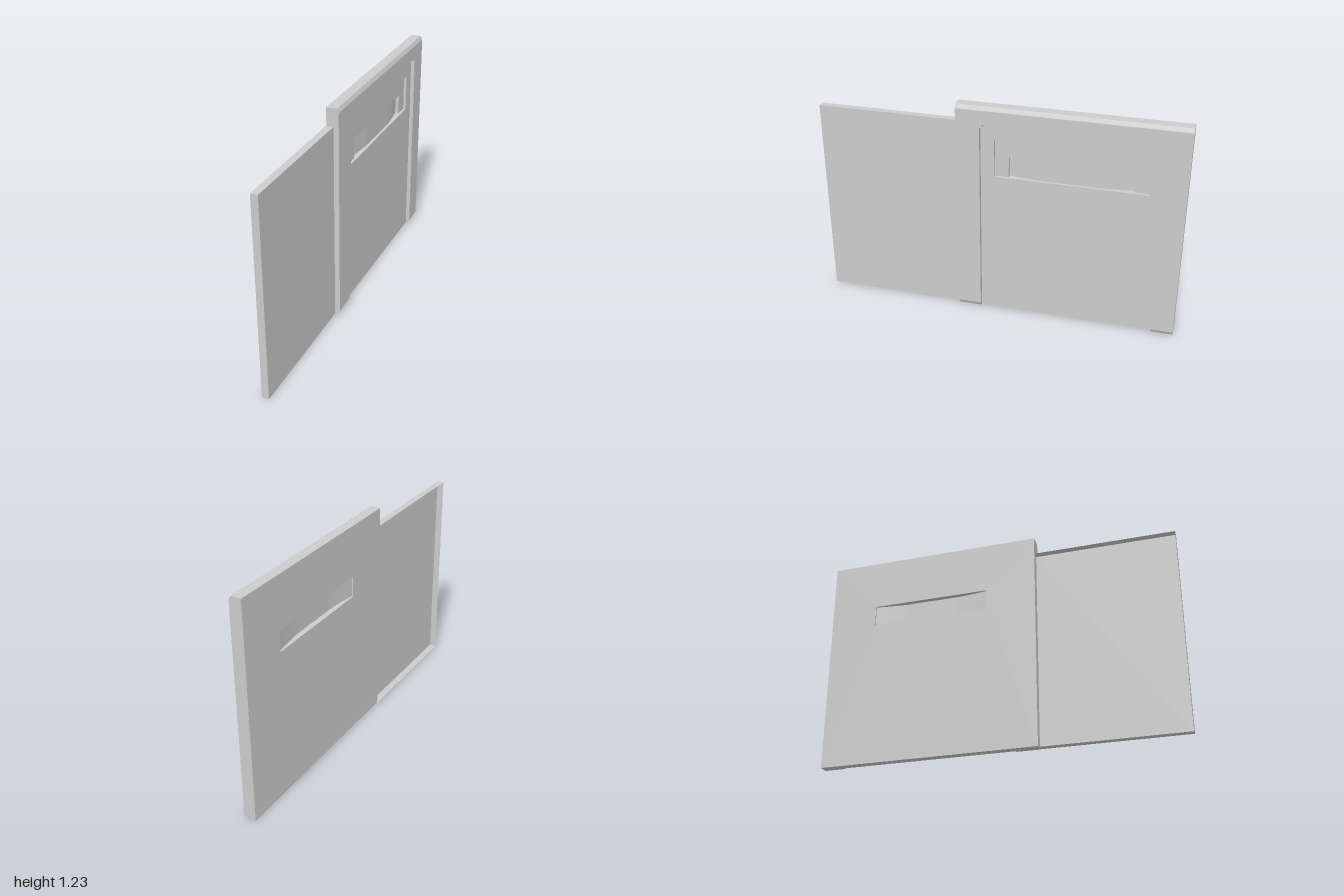
import * as THREE from 'three';

const BACK = -0.034, POCKET = -0.005, FLOOR = 0.011, FRONT = 0.034; // layer depths in x
const BOTTOM = 0.005, TOP = 1.23;

// Shape drawn in (-z, y)
const points = (list) => list.map(([z, y]) => new THREE.Vector2(-z, y));
const rect = (z0, z1, y0, y1) => points([[z0, y0], [z1, y0], [z1, y1], [z0, y1]]);

// Extrude a side outline along x from x0 to x1
function slab(outline, hole, x0, x1, steps = 1) {
  const shape = new THREE.Shape(outline);
  if (hole) shape.holes.push(new THREE.Path(hole));
  const geo = new THREE.ExtrudeGeometry(shape, { depth: x1 - x0, steps, bevelEnabled: false });
  return geo.rotateY(Math.PI / 2).translate(x0, 0, 0);
}

export function createModel() {
  const group = new THREE.Group();
  const solid = new THREE.MeshStandardMaterial({ color: 0xcccccc });
  const thin = new THREE.MeshStandardMaterial({ color: 0xcccccc, side: THREE.DoubleSide });
  const add = (name, geo, mat = solid) => {
    const mesh = new THREE.Mesh(geo, mat);
    mesh.name = name;
    group.add(mesh);
  };

  // Main panel: back layer with grip slot, middle layer with label pocket
  const outer = rect(0.22, -1, BOTTOM, TOP);
  add('backLayer', slab(outer, rect(-0.06, -0.73, 0.83, 0.945), BACK, POCKET));
  add('pocketLayer', slab(outer, rect(0.015, -0.81, 0.83, 1.04), POCKET, FLOOR));

  // Raised frame, open at the bottom, with notched inner corners
  const frame = slab(points([
    [0.22, BOTTOM], [0.09, BOTTOM], [0.09, 1.11], [0.075, 1.115], [0.075, 1.13],
    [-0.865, 1.13], [-0.865, 1.115], [-0.88, 1.11], [-0.88, BOTTOM],
    [-1, BOTTOM], [-1, TOP], [0.22, TOP],
  ]), null, FLOOR, FRONT, 2);
  // Chamfer the top and bottom edges of its face
  const p = frame.attributes.position;
  for (let i = 0; i < p.count; i++) {
    if (p.getX(i) < FRONT - 0.001) continue;
    if (p.getY(i) > TOP - 0.001) p.setY(i, TOP - 0.022);
    if (p.getY(i) < BOTTOM + 0.001) p.setY(i, BOTTOM + 0.02);
  }
  frame.computeVertexNormals();
  add('raisedFrame', frame);

  // Bowed sheet closing the grip slot, flush with the pocket floor at its middle
  const grip = new THREE.PlaneGeometry(0.67, 0.115, 40, 1);
  grip.rotateY(Math.PI / 2).translate(0, 0.8875, -0.395);
  const g = grip.attributes.position;
  for (let i = 0; i < g.count; i++) {
    const t = (g.getZ(i) + 0.395) / 0.335;
    g.setX(i, Math.min(POCKET, -0.026 + 0.0266 * (1 - t * t)));
  }
  grip.computeVertexNormals();
  add('bowedGrip', grip, thin);

  // Side panel: a shallow cover, open at the back and where it meets the main panel
  const cover = new THREE.BoxGeometry(0.039, 1.13, 0.78);
  const index = Array.from(cover.index.array);
  cover.setIndex([...index.slice(0, 6), ...index.slice(12, 30)]);
  cover.clearGroups();
  cover.translate(BACK + 0.0195, 0.565, 0.61);
  add('sideCover', cover, thin);

  return group;
}
